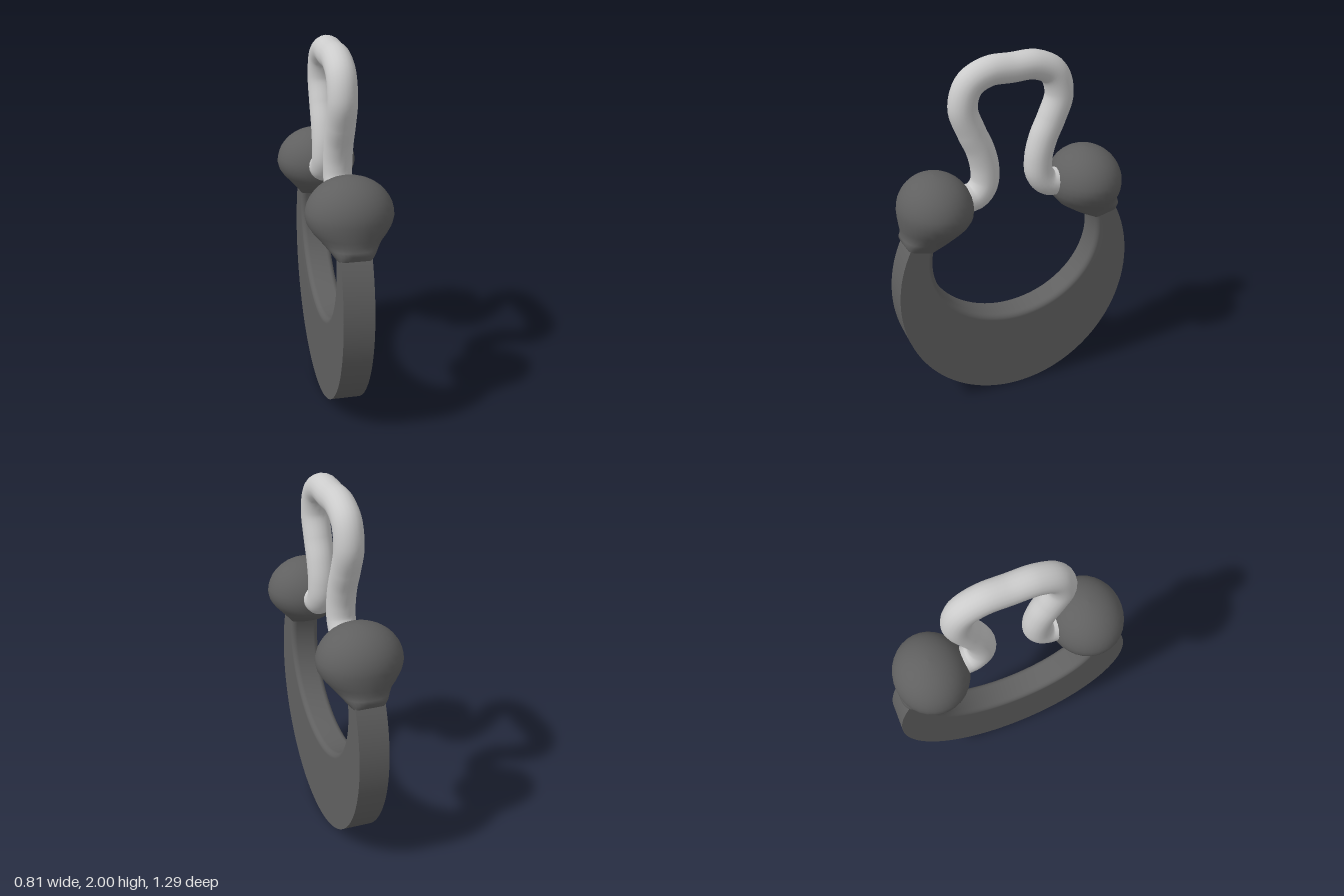
import * as THREE from 'three';

// Skin a list of equal-length rings of points
function loft(rings, closed) {
  const n = rings[0].length, index = [];
  for (let i = 0; i < rings.length - 1; i++) {
    for (let j = 0; j < (closed ? n : n - 1); j++) {
      const k = (j + 1) % n;
      const a = i * n + j, b = i * n + k, c = (i + 1) * n + k, d = (i + 1) * n + j;
      index.push(a, d, c, a, c, b);
    }
  }
  const geo = new THREE.BufferGeometry();
  geo.setAttribute('position', new THREE.Float32BufferAttribute(rings.flat().flatMap(p => p.toArray()), 3));
  geo.setIndex(index);
  geo.computeVertexNormals();
  return geo;
}

// Crescent slab: sharp outer rim, rounded inner edge
function crescent(material) {
  const group = new THREE.Group();
  group.name = 'crescentBody';
  const half = 0.08, r = 0.03, steps = 72, body = [], rim = [];
  const section = [];
  for (let k = 0; k <= 4; k++) {
    const a = k / 4 * Math.PI / 2;
    section.push([r - r * Math.sin(a), half - r + r * Math.cos(a)]);
  }
  const nose = [...section.map(([s, v]) => [s, -v]), ...section.slice().reverse()];
  for (let i = 0; i <= steps; i++) {
    const t = 1 - 2 * i / steps;
    const ao = -Math.PI / 2 + t * THREE.MathUtils.degToRad(118);
    const ai = -Math.PI / 2 + t * THREE.MathUtils.degToRad(104);
    const outer = new THREE.Vector3(0.675 * Math.cos(ao), 0.715 + 0.715 * Math.sin(ao), 0);
    const inner = new THREE.Vector3(0.48 * Math.cos(ai), 0.92 + 0.43 * Math.sin(ai), 0);
    const dir = outer.clone().sub(inner).normalize();
    const front = outer.clone().setZ(half), back = outer.clone().setZ(-half);
    const edge = nose.map(([s, v]) => inner.clone().addScaledVector(dir, s).setZ(v));
    body.push([back, ...edge, front]);
    rim.push([front, back]);
  }
  for (const [name, rings] of [['crescentSides', body], ['crescentRim', rim]]) {
    const mesh = new THREE.Mesh(loft(rings, false), material);
    mesh.name = name;
    group.add(mesh);
  }
  return group;
}

// Ball end: rectangular neck swelling into an ellipsoid
function ballGeometry() {
  // height, centre, half width, half depth, roundness, tilt
  const sections = [
    [1.02, 0.54, 0.068, 0.083, 0.3, 0.25],
    [1.05, 0.518, 0.11, 0.108, 0.65, 0.18],
    [1.075, 0.488, 0.138, 0.13, 0.85, 0.1],
    [1.105, 0.458, 0.166, 0.157, 1, 0.04],
    [1.14, 0.442, 0.186, 0.188, 1, 0],
    [1.18, 0.435, 0.197, 0.214, 1, 0],
  ];
  for (let k = 0; k <= 10; k++) {
    const a = k / 10 * Math.PI / 2, c = Math.max(Math.cos(a), 0.001);
    sections.push([1.22 + 0.195 * Math.sin(a), 0.434, 0.2 * c, 0.224 * c, 1, 0]);
  }
  const power = (v, p) => Math.sign(v) * Math.abs(v) ** p;
  return loft(sections.map(([y, cx, a, b, p, tilt]) => {
    const ring = [];
    for (let j = 0; j < 32; j++) {
      const f = (j + 0.5) / 32 * Math.PI * 2;
      const x = a * power(Math.cos(f), p);
      ring.push(new THREE.Vector3(cx + x, y + tilt * x, b * power(Math.sin(f), p)));
    }
    return ring;
  }), true);
}

// Bent rod hooked into both balls
function shackleGeometry() {
  const side = [[0.32, 1.245], [0.21, 1.25], [0.16, 1.31], [0.153, 1.4], [0.178, 1.51],
    [0.225, 1.62], [0.266, 1.75], [0.23, 1.868], [0.13, 1.922]];
  const points = [...side, [0, 1.924], ...side.slice().reverse().map(([x, y]) => [-x, y])];
  const curve = new THREE.CatmullRomCurve3(points.map(([x, y]) => new THREE.Vector3(x, y, 0)));
  return new THREE.TubeGeometry(curve, 96, 0.076, 20);
}

export function createModel() {
  const dark = new THREE.MeshStandardMaterial({ color: 0x606060 });
  const light = new THREE.MeshStandardMaterial({ color: 0xcccccc });
  const model = new THREE.Group();
  model.name = 'padlockRing';

  model.add(crescent(dark));

  const ball = ballGeometry();
  for (const [name, turn] of [['frontBall', 0], ['backBall', Math.PI]]) {
    const mesh = new THREE.Mesh(ball, dark);
    mesh.name = name;
    mesh.rotation.y = turn;
    model.add(mesh);
  }

  const shackle = new THREE.Mesh(shackleGeometry(), light);
  shackle.name = 'shackle';
  model.add(shackle);

  // The whole piece stands turned about the vertical
  model.rotation.y = THREE.MathUtils.degToRad(-64.4);
  return model;
}
